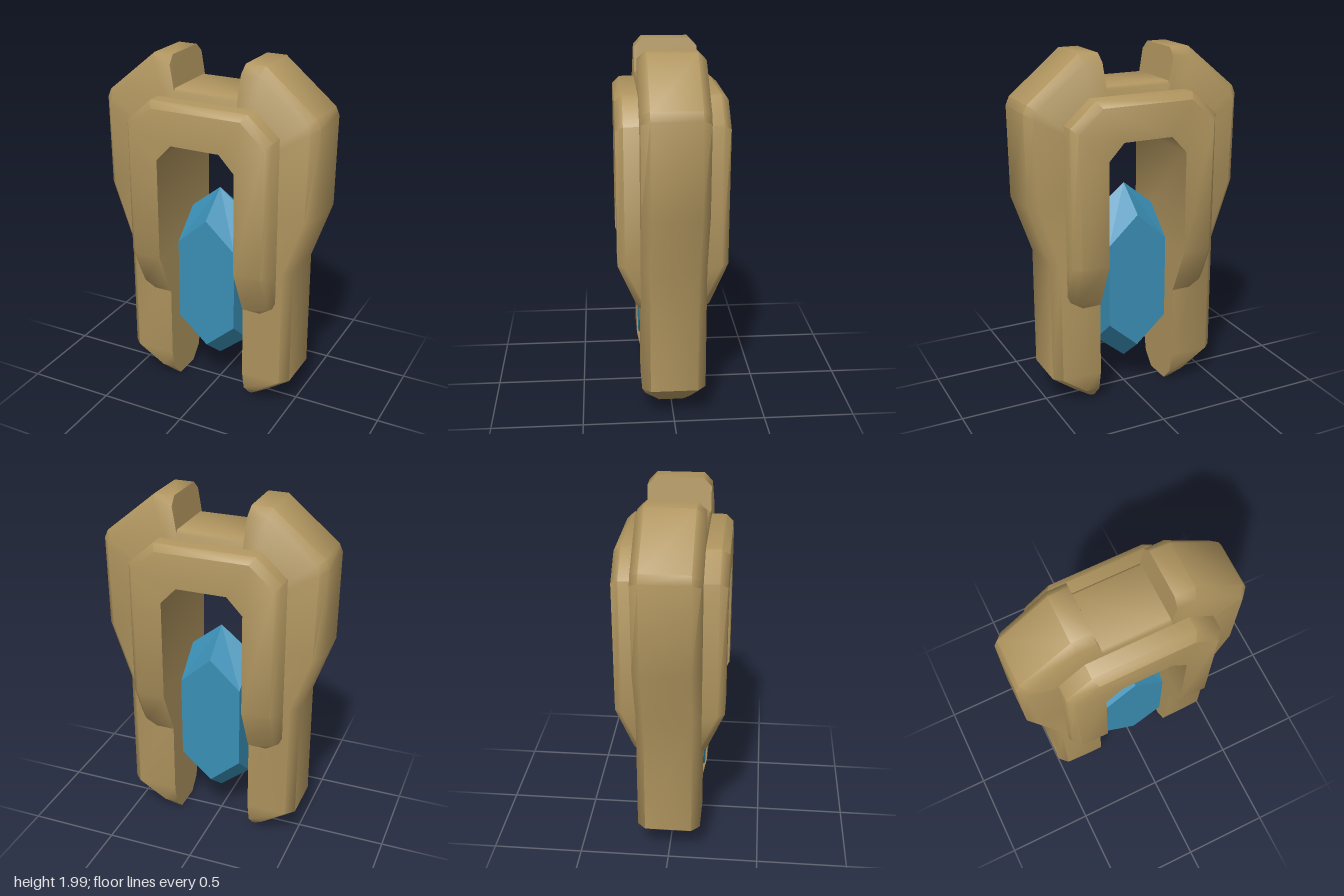
import * as THREE from 'three';
import { toCreasedNormals } from 'three/addons/utils/BufferGeometryUtils.js';

const gold = new THREE.MeshStandardMaterial({ color: 0xb0955f });
const blue = new THREE.MeshStandardMaterial({ color: 0x3a8fb5 });

// Arch swept through stations [outerX, outerY, innerX, innerY, halfDepth, bevel],
// listed for the +x leg from the foot upwards and mirrored for the other leg.
function archGeometry(half) {
  const mirrored = half.map(([ox, oy, ix, iy, d, b]) => [-ox, oy, -ix, iy, d, b]).reverse();
  const stations = [...half, ...mirrored];
  const pos = [], index = [], n = 6;
  for (const [ox, oy, ix, iy, d, b] of stations) {
    const len = Math.hypot(ox - ix, oy - iy);
    const bevel = Math.min(b, len * 0.4);
    const bx = ox - (ox - ix) / len * bevel, by = oy - (oy - iy) / len * bevel;
    pos.push(ix, iy, -d, bx, by, -d, ox, oy, bevel - d, ox, oy, d - bevel, bx, by, d, ix, iy, d);
  }
  const last = (stations.length - 1) * n;
  for (let s = 0; s < last; s += n) {
    for (let j = 0; j < n; j++) {
      const a = s + j, b = s + (j + 1) % n;
      index.push(a, a + n, b, b, a + n, b + n);
    }
  }
  // Feet ends
  for (let j = 1; j < n - 1; j++) {
    index.push(0, j, j + 1, last, last + j + 1, last + j);
  }
  const g = new THREE.BufferGeometry();
  g.setAttribute('position', new THREE.Float32BufferAttribute(pos, 3));
  g.setIndex(index);
  return toCreasedNormals(g, 0.85);
}

// Square prism with a four-sided point at both ends; each point is cut by the prism's sides
function crystalGeometry(r) {
  const pos = [], index = [], n = 8;
  for (let i = 0; i < n; i++) {
    const a = i * Math.PI / 4, corner = i % 2;
    const k = corner ? r * Math.SQRT2 : r;
    const x = Math.sin(a) * k, z = Math.cos(a) * k;
    pos.push(x, corner ? 0.48 : 0.325, z, x, corner ? 0.95 : 1.11, z);
  }
  pos.push(0, 0.18, 0, 0, 1.25, 0);
  for (let i = 0; i < n; i++) {
    const a = i * 2, b = ((i + 1) % n) * 2;
    index.push(a, b, a + 1, b, b + 1, a + 1, a + 1, b + 1, 17, b, a, 16);
  }
  const g = new THREE.BufferGeometry();
  g.setAttribute('position', new THREE.Float32BufferAttribute(pos, 3));
  g.setIndex(index);
  return toCreasedNormals(g, 0.1);
}

export function createModel() {
  const group = new THREE.Group();
  const add = (name, geometry, material) => {
    const mesh = new THREE.Mesh(geometry, material);
    mesh.name = name;
    group.add(mesh);
  };

  // Outer frame with pointed feet and two horns
  add('outerFrame', archGeometry([
    [0.26, 0.01, 0.23, 0.01, 0.08, 0.03],
    [0.36, 0.085, 0.23, 0.085, 0.15, 0.05],
    [0.505, 0.2, 0.23, 0.2, 0.174, 0.045],
    [0.505, 0.89, 0.23, 0.89, 0.174, 0.045],
    [0.62, 1.22, 0.23, 1.22, 0.174, 0.045],
    [0.625, 1.72, 0.23, 1.465, 0.174, 0.045],
    [0.605, 1.765, 0.215, 1.485, 0.174, 0.045],
    [0.32, 2.0, 0.175, 1.525, 0.174, 0.045],
    [0.21, 2.0, 0.16, 1.54, 0.174, 0.045],
    [0.185, 1.83, 0.14, 1.56, 0.174, 0.015],
  ]), gold);

  // Deeper inner arch whose legs taper back into the frame
  add('innerArch', archGeometry([
    [0.365, 0.61, 0.228, 0.61, 0.17, 0.04],
    [0.425, 0.665, 0.228, 0.665, 0.196, 0.04],
    [0.425, 0.89, 0.228, 0.89, 0.295, 0.04],
    [0.425, 1.65, 0.228, 1.465, 0.295, 0.04],
    [0.28, 1.78, 0.14, 1.558, 0.295, 0.04],
  ]), gold);

  add('crystal', crystalGeometry(0.174), blue);
  return group;
}
